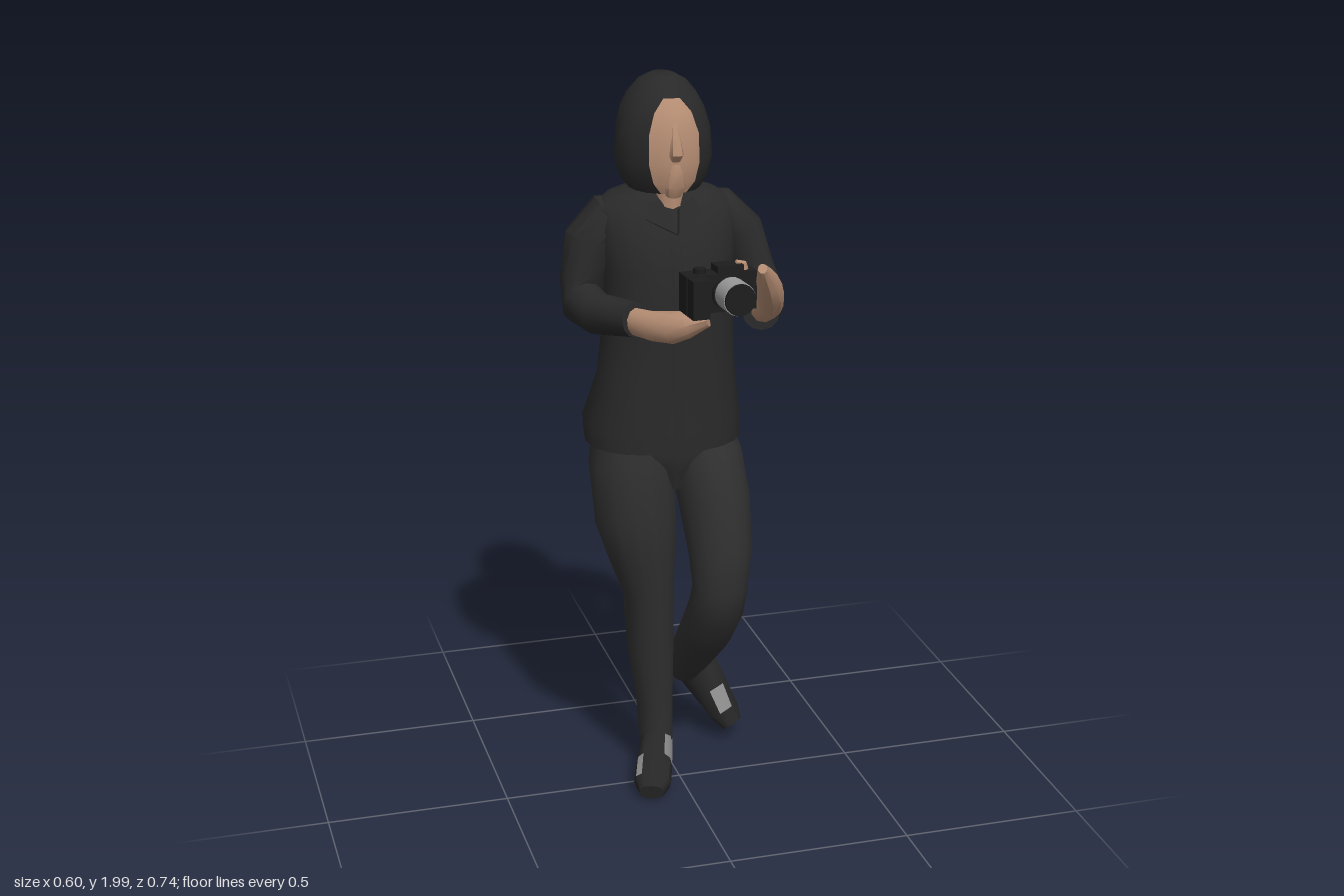
import * as THREE from 'three';
import { toCreasedNormals } from 'three/addons/utils/BufferGeometryUtils.js';

const mat = (name, color) => {
  const m = new THREE.MeshStandardMaterial({ color });
  m.name = name;
  return m;
};
const V = (x, y, z) => new THREE.Vector3(x, y, z);

// Skin a list of equal point rings, closing both ends; keep(row, col) selects faces
function loft(rings, keep = () => true) {
  const n = rings[0].length, pos = [], idx = [];
  rings.forEach(r => r.forEach(p => pos.push(p.x, p.y, p.z)));
  for (let i = 0; i < rings.length - 1; i++) for (let j = 0; j < n; j++) {
    if (!keep(i, j)) continue;
    const a = i * n + j, b = i * n + (j + 1) % n;
    idx.push(a, b, b + n, a, b + n, a + n);
  }
  [0, rings.length - 1].forEach(i => {
    if (!keep(i ? i : -1, -1)) return;
    const c = V(0, 0, 0);
    rings[i].forEach(p => c.addScaledVector(p, 1 / n));
    const k = pos.length / 3;
    pos.push(c.x, c.y, c.z);
    for (let j = 0; j < n; j++) {
      const a = i * n + j, b = i * n + (j + 1) % n;
      i ? idx.push(a, b, k) : idx.push(b, a, k);
    }
  });
  const g = new THREE.BufferGeometry();
  g.setAttribute('position', new THREE.Float32BufferAttribute(pos, 3));
  g.setIndex(idx);
  return toCreasedNormals(g, 0.7);
}

// Oval rings along a path of [x, y, z, radius, radius towards hint]
function ovals(path, hint, n = 12, flat = false, power = 1) {
  const pts = path.map(p => V(p[0], p[1], p[2]));
  const round = v => Math.sign(v) * Math.abs(v) ** power;
  return path.map((p, i) => {
    const t = flat ? V(0, 1, 0)
      : pts[Math.min(i + 1, pts.length - 1)].clone().sub(pts[Math.max(i - 1, 0)]).normalize();
    const w = hint.clone().addScaledVector(t, -hint.dot(t)).normalize();
    const u = w.clone().cross(t);
    return Array.from({ length: n }, (_, j) => {
      const q = j / n * Math.PI * 2;
      return pts[i].clone().addScaledVector(u, p[3] * round(Math.cos(q)))
        .addScaledVector(w, (p[4] ?? p[3]) * round(Math.sin(q)));
    });
  });
}

export function createModel() {
  const root = new THREE.Group();
  const jacketMat = mat('jacket black', 0x292929), trouserMat = mat('trouser charcoal', 0x303030);
  const hairMat = mat('hair black', 0x292929), skinMat = mat('skin', 0xb58d73);
  const shoeMat = mat('shoe black', 0x262626), greyMat = mat('shoe grey', 0x8c8c8c);
  const cameraMat = mat('camera black', 0x1d1d1d), lensMat = mat('lens grey', 0x9a9a9a);
  const X = V(1, 0, 0), Y = V(0, 1, 0), Z = V(0, 0, 1);
  const add = (name, geo, m, parent = root) => {
    const mesh = new THREE.Mesh(geo, m);
    mesh.name = name;
    parent.add(mesh);
    return mesh;
  };
  const limb = (name, path, hint, m, n) => add(name, loft(ovals(path, hint, n)), m);

  // Jacket body
  const body = [
    [-0.025, 1.012, -0.087, 0.214, 0.166], [-0.027, 1.07, -0.09, 0.216, 0.167],
    [-0.015, 1.2, -0.08, 0.187, 0.147], [-0.01, 1.35, -0.078, 0.176, 0.143],
    [-0.01, 1.5, -0.09, 0.18, 0.149], [-0.012, 1.6, -0.107, 0.195, 0.136],
    [-0.013, 1.655, -0.115, 0.19, 0.11], [-0.015, 1.69, -0.115, 0.145, 0.085],
    [-0.015, 1.71, -0.115, 0.07, 0.07]];
  add('jacketBody', loft(ovals(body, Z, 20, true, 0.9)), jacketMat);
  const placket = body.slice(0, 7).map(p => [-0.02, p[1], p[2] + p[4], 0.016, 0.004]);
  limb('jacketPlacket', placket, Z, jacketMat, 6);

  // Collar and lapels
  add('collar', loft(ovals([[-0.015, 1.62, -0.085, 0.1, 0.108], [-0.015, 1.675, -0.1, 0.085, 0.09],
    [-0.015, 1.71, -0.112, 0.07, 0.07]], Z, 12, true)), jacketMat);
  for (const s of [-1, 1]) {
    const flap = new THREE.Shape([[0, 0], [s * 0.075, 0.05], [s * 0.06, 0.1], [s * 0.012, 0.07]]
      .map(p => new THREE.Vector2(...p)));
    const lapel = add('lapel', new THREE.ExtrudeGeometry(flap,
      { depth: 0.012, bevelEnabled: false }), jacketMat);
    lapel.position.set(-0.015, 1.6, 0.032);
    lapel.rotation.set(-0.5, s * 0.25, 0);
  }

  // Sleeves
  limb('rightSleeve', [[-0.09, 1.64, -0.12, 0.05, 0.04], [-0.16, 1.625, -0.125, 0.08, 0.062],
    [-0.21, 1.56, -0.125, 0.085, 0.072], [-0.235, 1.46, -0.115, 0.075, 0.062],
    [-0.242, 1.405, -0.08, 0.072, 0.058], [-0.22, 1.395, 0, 0.056, 0.055],
    [-0.157, 1.415, 0.14, 0.047, 0.043]], X, jacketMat);
  limb('leftSleeve', [[0.07, 1.64, -0.12, 0.05, 0.04], [0.14, 1.625, -0.125, 0.08, 0.062],
    [0.195, 1.56, -0.12, 0.085, 0.072], [0.23, 1.46, -0.105, 0.075, 0.062],
    [0.243, 1.405, -0.06, 0.072, 0.058], [0.225, 1.395, 0.02, 0.058, 0.058],
    [0.172, 1.42, 0.172, 0.05, 0.05]], X, jacketMat);

  // Forearms, hands and finger
  limb('rightHand', [[-0.165, 1.408, 0.12, 0.036, 0.032], [-0.125, 1.408, 0.185, 0.04, 0.032],
    [-0.085, 1.415, 0.235, 0.042, 0.038], [-0.05, 1.43, 0.265, 0.036, 0.036],
    [-0.005, 1.442, 0.285, 0.016, 0.025]], X, skinMat, 10);
  limb('leftHand', [[0.182, 1.415, 0.15, 0.036], [0.185, 1.45, 0.21, 0.036, 0.034],
    [0.165, 1.5, 0.265, 0.045, 0.036], [0.14, 1.545, 0.32, 0.036, 0.028],
    [0.112, 1.59, 0.365, 0.014, 0.012]], X, skinMat, 10);
  limb('leftIndexFinger', [[0.1, 1.545, 0.267, 0.012], [0.09, 1.578, 0.267, 0.012],
    [0.072, 1.584, 0.267, 0.007]], Z, skinMat, 6);

  // Head: one skull surface split into hair and face, face columns narrow with height
  const headRows = [ // y, half width, back z, front z, half width of face
    [1.705, 0.095, -0.205, 0.006, 0.034], [1.735, 0.118, -0.228, 0.02, 0.056],
    [1.785, 0.13, -0.24, 0.026, 0.068], [1.86, 0.125, -0.242, 0.024, 0.067],
    [1.915, 0.11, -0.238, 0.006, 0.05], [1.95, 0.091, -0.218, -0.018, 0.022],
    [1.982, 0.064, -0.19, -0.043, 0.01], [2, 0.032, -0.155, -0.062, 0.004]];
  const headRings = headRows.map(([y, a, back, front, w]) => {
    const f = Math.asin(w / a);
    return Array.from({ length: 20 }, (_, j) => {
      const q = j <= 6 ? -f + 2 * f * j / 6 : f + (2 * Math.PI - 2 * f) * (j - 6) / 14;
      return V(-0.015 + a * Math.sin(q), y, (back + front) / 2 + (front - back) / 2 * Math.cos(q));
    });
  });
  const isFace = (i, j) => i >= 0 && i < 5 && j >= 0 && j < 6;
  add('hair', loft(headRings, (i, j) => !isFace(i, j)), hairMat);
  add('face', loft(headRings, isFace), skinMat);
  limb('nose', [[-0.015, 1.795, 0.02, 0.014, 0.008], [-0.015, 1.812, 0.027, 0.019, 0.018],
    [-0.015, 1.845, 0.022, 0.014, 0.014], [-0.015, 1.89, 0.008, 0.009, 0.007]], Z, skinMat, 8);
  limb('mouthAndChin', [[-0.015, 1.7, 0.0, 0.022, 0.014], [-0.015, 1.725, 0.014, 0.028, 0.014],
    [-0.015, 1.765, 0.018, 0.022, 0.014], [-0.015, 1.785, 0.018, 0.014, 0.01]], Z, skinMat, 8);
  limb('neck', [[-0.015, 1.62, -0.06, 0.042, 0.06], [-0.015, 1.67, -0.07, 0.042, 0.068],
    [-0.015, 1.73, -0.08, 0.046, 0.075]], Z, skinMat, 12);

  // Trousers
  limb('rightTrouserLeg', [[-0.115, 1.035, -0.09, 0.1, 0.125], [-0.118, 0.95, -0.075, 0.116, 0.13],
    [-0.112, 0.8, -0.045, 0.114, 0.108], [-0.093, 0.68, -0.045, 0.092, 0.092],
    [-0.076, 0.58, -0.055, 0.072, 0.08], [-0.066, 0.4, -0.07, 0.066, 0.074],
    [-0.05, 0.22, -0.085, 0.052, 0.058], [-0.045, 0.09, -0.09, 0.048, 0.056]], Z, trouserMat, 14);
  limb('leftTrouserLeg', [[0.08, 1.035, -0.1, 0.085, 0.11], [0.092, 0.95, -0.062, 0.1, 0.125],
    [0.103, 0.83, -0.01, 0.098, 0.115], [0.106, 0.7, 0.035, 0.088, 0.09],
    [0.1, 0.6, 0.055, 0.076, 0.078], [0.097, 0.53, 0.03, 0.077, 0.078],
    [0.094, 0.42, -0.06, 0.076, 0.07], [0.084, 0.31, -0.165, 0.062, 0.063],
    [0.085, 0.225, -0.255, 0.047, 0.052]], Z, trouserMat, 14);
  add('trouserSeat', loft(ovals([[-0.01, 0.88, -0.06, 0.06, 0.06], [-0.015, 0.94, -0.09, 0.15, 0.115],
    [-0.02, 1.0, -0.092, 0.195, 0.145], [-0.02, 1.04, -0.092, 0.19, 0.145]], Z, 16, true)), trouserMat);

  // Shoes, toe along local +z, with grey panels
  const shoeRings = ovals([[0, 0.043, -0.145, 0.032, 0.038], [0, 0.062, -0.115, 0.043, 0.062],
    [0, 0.066, -0.05, 0.047, 0.066], [0, 0.05, 0.03, 0.051, 0.05], [0, 0.034, 0.1, 0.052, 0.034],
    [0, 0.026, 0.145, 0.034, 0.022]], Y, 12, false, 0.8);
  const shoe = (name, isGrey) => {
    const g = new THREE.Group();
    g.name = name;
    add('shoeUpper', loft(shoeRings, (i, j) => !isGrey(i, j)), shoeMat, g);
    add('shoePanel', loft(shoeRings, isGrey), greyMat, g);
    root.add(g);
    return g;
  };
  const rightShoe = shoe('rightShoe', (i, j) =>
    (i >= 1 && i <= 2 && (j === 0 || j === 1)) || (i === 0 && j === 0) || (i === 3 && j === 4));
  rightShoe.position.set(-0.068, 0.005, -0.015);
  rightShoe.rotation.y = -0.33;
  const leftShoe = shoe('leftShoe', (i, j) => i === 3 && (j === 3 || j === 4));
  leftShoe.position.set(0.13, 0.122, -0.28);
  leftShoe.lookAt(0.13 + 0.145, 0.122 - 0.18, -0.28 + 0.165);

  // Handheld camera
  const cam = new THREE.Group();
  cam.name = 'camera';
  cam.position.set(0.025, 1.515, 0.27);
  cam.rotation.y = 0.08;
  root.add(cam);
  const box = (name, w, h, d, x, y, z) =>
    add(name, new THREE.BoxGeometry(w, h, d), cameraMat, cam).position.set(x, y, z);
  box('cameraBody', 0.19, 0.1, 0.055, 0, 0, 0);
  box('cameraGrip', 0.045, 0.1, 0.05, -0.07, -0.002, 0.045);
  box('viewfinderHump', 0.07, 0.025, 0.05, 0.025, 0.055, 0);
  box('eyepiece', 0.045, 0.03, 0.02, 0.065, 0.035, -0.035);
  const tube = (name, r, len, m, x, y, z) => {
    const c = add(name, new THREE.CylinderGeometry(r, r, len, 20), m, cam);
    c.position.set(x, y, z);
    return c;
  };
  tube('lensMount', 0.047, 0.016, cameraMat, 0.02, 0, 0.03).rotation.x = Math.PI / 2;
  tube('lensBarrel', 0.043, 0.062, lensMat, 0.02, 0, 0.069).rotation.x = Math.PI / 2;
  tube('lensRim', 0.041, 0.008, cameraMat, 0.02, 0, 0.103).rotation.x = Math.PI / 2;
  tube('modeDial', 0.016, 0.014, cameraMat, -0.05, 0.056, 0);
  return root;
}
